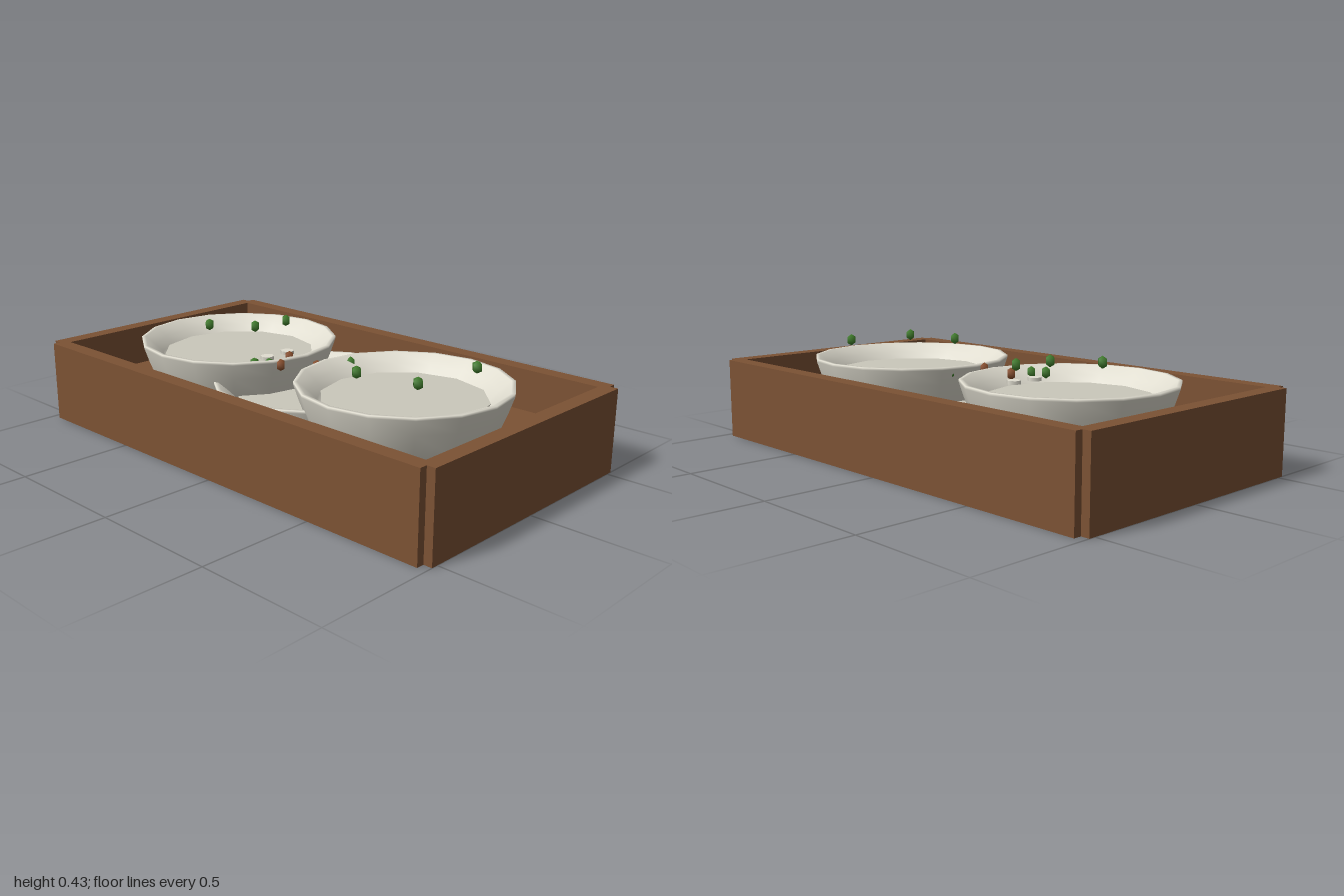
import * as THREE from 'three';

const mat = (name, color) => {
  const m = new THREE.MeshStandardMaterial({ color });
  m.name = name;
  return m;
};

export function createModel() {
  const model = new THREE.Group();
  model.name = 'trayOfBowls';
  const wood = mat('wood', 0x7c5234);
  const ceramic = mat('ceramic', 0xe0ddd0);
  const broth = mat('broth', 0xcbc8bb);
  const herb = mat('herb', 0x3f7d2a);
  const spice = mat('spice', 0x8a4f2c);

  const add = (parent, name, geo, material, x, y, z) => {
    const mesh = new THREE.Mesh(geo, material);
    mesh.name = name;
    mesh.position.set(x, y, z);
    parent.add(mesh);
    return mesh;
  };

  // Tray: thick base and four walls with notched corners
  add(model, 'trayBase', new THREE.BoxGeometry(1.9, 0.16, 1.02), wood, 0, 0.0805, 0);
  for (const s of [-1, 1]) {
    add(model, 'longWall', new THREE.BoxGeometry(1.934, 0.323, 0.062), wood, 0, 0.1615, s * 0.524);
    add(model, 'endWall', new THREE.BoxGeometry(0.062, 0.323, 1.05), wood, s * 0.969, 0.1615, 0);
  }

  // Bowls: the middle one sits lower than its neighbours
  const profile = [
    [0, 0], [0.287, 0], [0.345, 0.1], [0.38, 0.19], [0.4, 0.25], [0.4, 0.26],
    [0.385, 0.26], [0.345, 0.225], [0.315, 0.195], [0.29, 0.16], [0, 0.15],
  ].map(([r, y]) => new THREE.Vector2(r, y));
  const bowlGeo = new THREE.LatheGeometry(profile, 16);
  const brothGeo = new THREE.CylinderGeometry(0.31, 0.29, 0.04, 12);
  for (const [x, y] of [[-0.445, 0.087], [0, 0], [0.445, 0.087]]) {
    const bowl = new THREE.Group();
    bowl.name = 'bowl';
    bowl.position.set(x, y, 0);
    add(bowl, 'bowlShell', bowlGeo, ceramic, 0, 0, 0);
    add(bowl, 'bowlContents', brothGeo, broth, 0, 0.18, 0);
    model.add(bowl);
  }

  // Faceted garnish crumbs
  const crumb = new THREE.SphereGeometry(0.024, 4, 3);
  const herbs = [
    [-0.505, 0.405, 0.105], [-0.35, 0.405, -0.005], [-0.33, 0.405, -0.16],
    [0.375, 0.405, 0.18], [0.61, 0.405, 0.13], [0.64, 0.405, -0.165],
    [-0.165, 0.322, 0.17], [-0.12, 0.322, 0.135], [0.09, 0.322, -0.1],
  ];
  for (const p of herbs) add(model, 'herbCrumb', crumb, herb, ...p);
  for (const p of [[-0.12, 0.328, 0.025], [-0.065, 0.328, 0.125], [0.045, 0.328, 0.04]]) {
    add(model, 'spiceCrumb', crumb, spice, ...p);
  }

  // Pale slices
  const slice = new THREE.CylinderGeometry(0.028, 0.028, 0.014, 6);
  const slices = [
    [-0.21, 0.315, -0.05], [-0.21, 0.315, 0.06], [-0.27, 0.27, -0.27],
    [-0.27, 0.27, 0.26], [0.2, 0.27, -0.2], [0.27, 0.27, -0.27], [0.27, 0.27, 0.26],
  ];
  for (const p of slices) add(model, 'paleSlice', slice, ceramic, ...p);

  return model;
}
